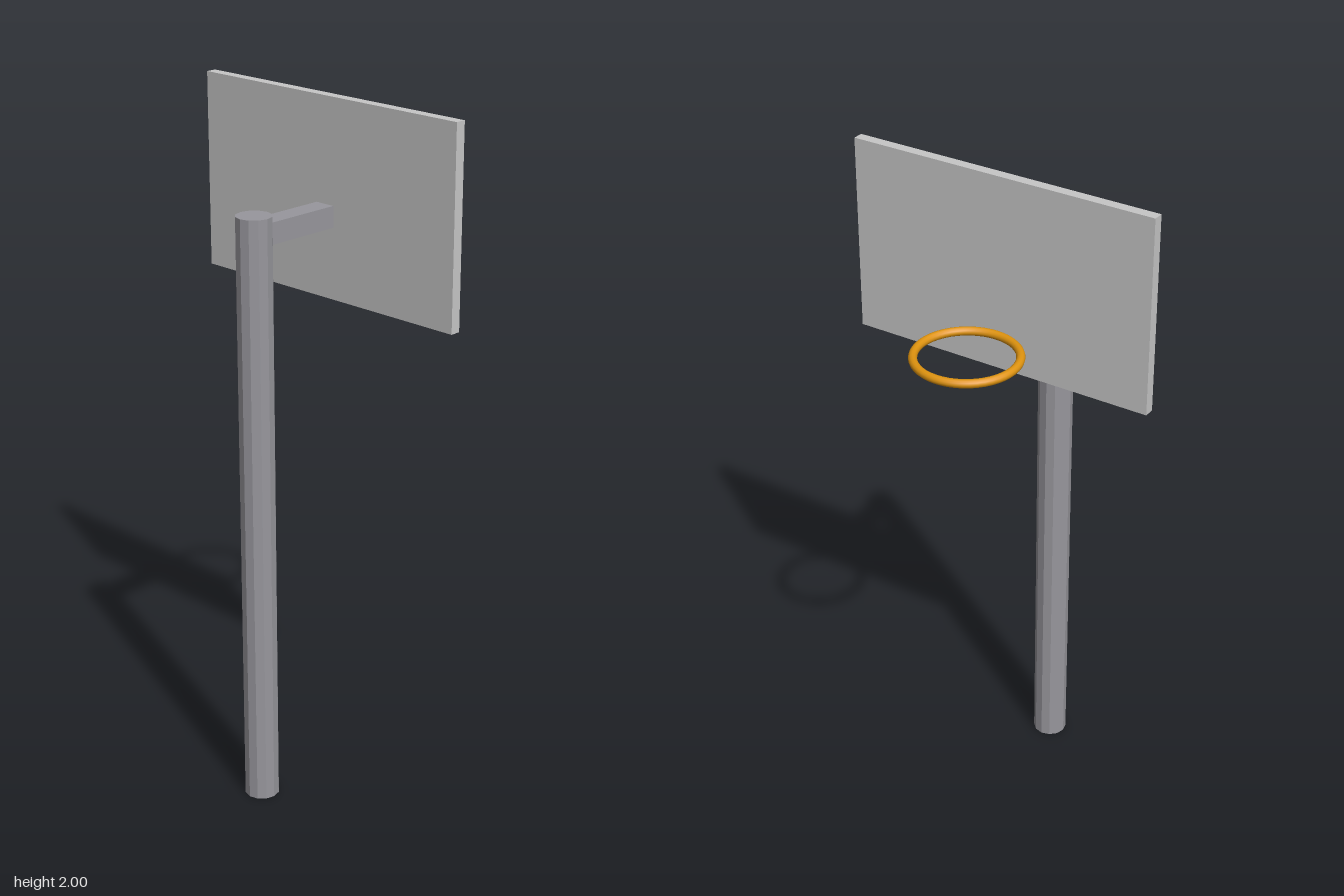
import * as THREE from 'three';

const poleGrey = new THREE.MeshStandardMaterial({ color: 0x98979d });
poleGrey.name = 'pole grey';
const boardGrey = new THREE.MeshStandardMaterial({ color: 0xc6c6c6 });
boardGrey.name = 'board grey';
const rimOrange = new THREE.MeshStandardMaterial({ color: 0xe0940f });
rimOrange.name = 'rim orange';

export function createModel() {
  const group = new THREE.Group();
  group.name = 'basketballHoop';

  const add = (name, geometry, material, x, y, z) => {
    const mesh = new THREE.Mesh(geometry, material);
    mesh.name = name;
    mesh.position.set(x, y, z);
    group.add(mesh);
    return mesh;
  };

  // Twelve-sided upright with flat facets
  const poleGeometry = new THREE.CylinderGeometry(0.05, 0.05, 1.727, 12).toNonIndexed();
  poleGeometry.computeVertexNormals();
  add('pole', poleGeometry, poleGrey, 0, 0.8635, 0.273);

  // Arm from the pole to the board
  add('supportArm', new THREE.BoxGeometry(0.062, 0.06, 0.265), poleGrey, 0, 1.677, 0.1415);

  // Backboard
  add('backboard', new THREE.BoxGeometry(0.91, 0.555, 0.03), boardGrey, 0, 1.7225, -0.006);

  // Horizontal rim touching the far face of the board
  const rim = add('rim', new THREE.TorusGeometry(0.141, 0.012, 12, 48), rimOrange, 0, 1.55, -0.173);
  rim.rotation.x = Math.PI / 2;

  return group;
}
